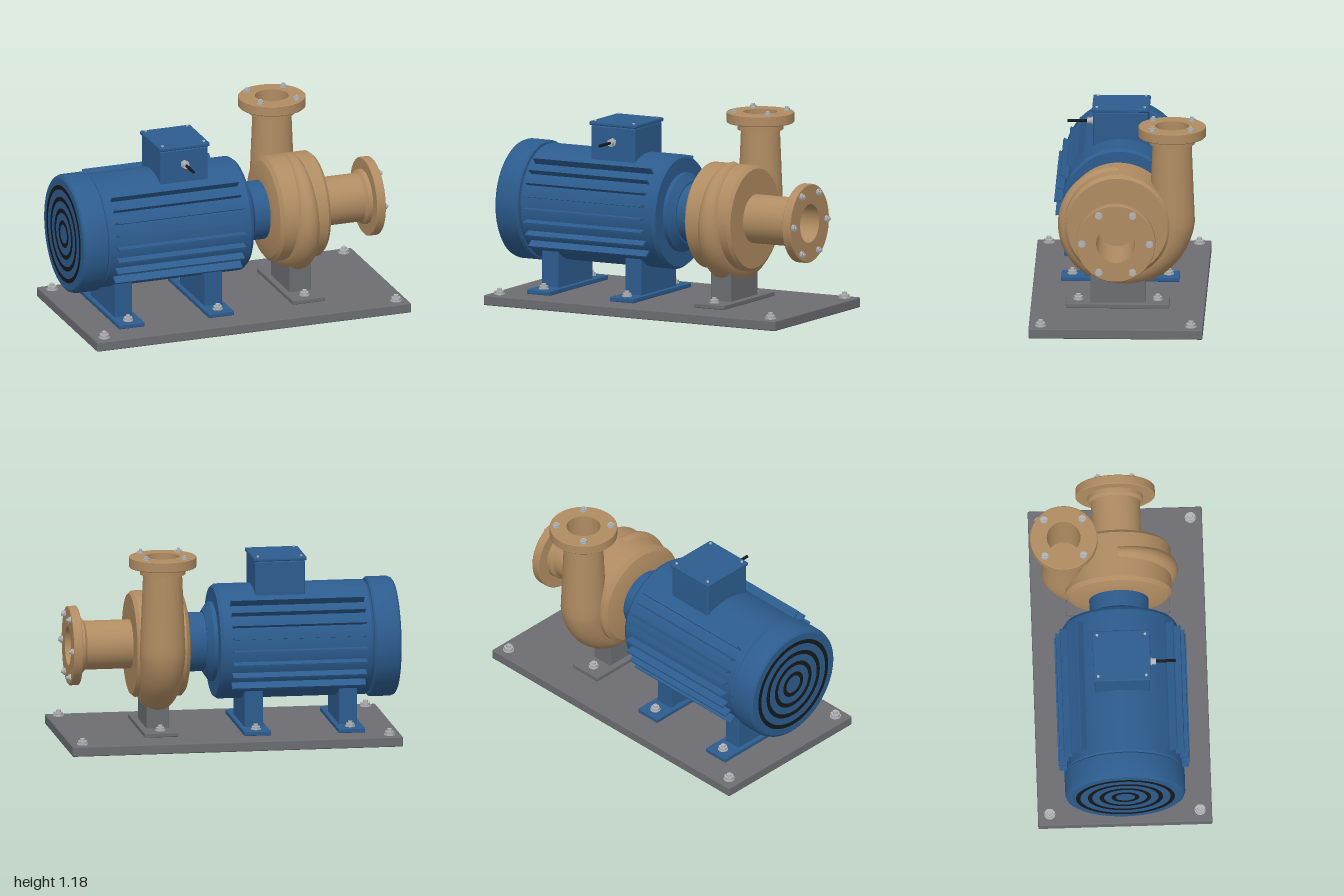
import * as THREE from 'three';
import { toCreasedNormals } from 'three/addons/utils/BufferGeometryUtils.js';
import { RoundedBoxGeometry } from 'three/addons/geometries/RoundedBoxGeometry.js';

const mat = (name, color) => Object.assign(new THREE.MeshStandardMaterial({ color }), { name });

const AXIS_Y = 0.57;   // height of the shaft
const PUMP_X = 0.43;   // middle plane of the volute
const OUTLET_Z = -0.32;

export function createModel() {
  const model = new THREE.Group();
  model.name = 'motorPump';
  const blue = mat('motor blue', 0x2c5c8e);
  const tan = mat('casing tan', 0xb08c62);
  const grey = mat('base grey', 0x6c6d72);
  const steel = mat('bolt steel', 0xb2b4b6);
  const black = mat('black', 0x17181a);

  const add = (name, geometry, material, x = 0, y = 0, z = 0) => {
    const mesh = new THREE.Mesh(geometry, material);
    mesh.name = name;
    mesh.position.set(x, y, z);
    model.add(mesh);
    return mesh;
  };

  // Box given by its limits, with slightly rounded edges
  const box = (name, material, [x0, x1], [y0, y1], [z0, z1], r = 0.005) =>
    add(name, new RoundedBoxGeometry(x1 - x0, y1 - y0, z1 - z0, 2, r), material,
      (x0 + x1) / 2, (y0 + y1) / 2, (z0 + z1) / 2);

  // Turned part from [distance along axis, radius] pairs
  const turned = (profile) => toCreasedNormals(
    new THREE.LatheGeometry(profile.map(([a, r]) => new THREE.Vector2(r, a)), 64), 0.4);
  const turnedX = (name, material, profile) =>
    add(name, turned(profile).rotateZ(-Math.PI / 2), material, 0, AXIS_Y, 0);

  // Hex nut with a stud, standing on y or pointing along +x
  const bolt = (name, s, x, y, z, alongX = false) => {
    const g = new THREE.Group();
    g.name = name;
    const parts = [
      ['washer', s * 1.1, 0.006, 24],
      ['nut', s, s * 0.75, 6],
      ['stud', s * 0.5, s * 1.25, 16],
    ];
    for (const [part, r, h, n] of parts) {
      const m = new THREE.Mesh(new THREE.CylinderGeometry(r, r, h, n), steel);
      m.name = part;
      m.position.y = h / 2;
      g.add(m);
    }
    g.position.set(x, y, z);
    if (alongX) g.rotation.z = -Math.PI / 2;
    model.add(g);
  };

  // Base plate and its anchor bolts
  box('basePlate', grey, [-0.98, 1], [0, 0.06], [-0.515, 0.515], 0.007);
  for (const x of [-0.91, 0.93]) for (const z of [-0.445, 0.445]) bolt('anchorBolt', 0.03, x, 0.06, z);

  // Motor feet
  for (const x of [-0.7, -0.135]) {
    box('motorFootPlate', blue, [x - 0.08, x + 0.08], [0.06, 0.087], [-0.35, 0.35]);
    box('motorLeg', blue, [x - 0.055, x + 0.055], [0.08, 0.35], [-0.21, 0.21]);
    for (const z of [-0.285, 0.285]) bolt('motorFootBolt', 0.027, x, 0.087, z);
  }

  // Pump foot
  box('pumpFootPlate', grey, [0.33, 0.535], [0.06, 0.087], [-0.305, 0.305]);
  box('pumpLeg', grey, [0.365, 0.5], [0.08, 0.32], [-0.162, 0.162]);
  for (const z of [-0.235, 0.235]) bolt('pumpFootBolt', 0.027, PUMP_X, 0.087, z);

  // Motor housing, fan cover and the neck to the pump
  turnedX('motorHousing', blue, [
    [-0.845, 0], [-0.845, 0.325], [-0.825, 0.34], [0.06, 0.34], [0.08, 0.325], [0.08, 0]]);
  turnedX('fanCover', blue, [
    [-1, 0], [-1, 0.335], [-0.99, 0.348], [-0.97, 0.355], [-0.85, 0.355], [-0.84, 0.345], [-0.84, 0]]);
  turnedX('motorNeck', blue, [
    [0.07, 0.235], [0.105, 0.235], [0.14, 0.185], [0.14, 0.175], [0.25, 0.175]]);

  // Concentric dark slots in the fan cover
  for (const r of [0.07, 0.14, 0.21, 0.28]) {
    add('fanSlot', new THREE.RingGeometry(r - 0.013, r + 0.013, 64).rotateY(-Math.PI / 2),
      black, -1.0015, AXIS_Y, 0);
  }

  // Cooling fins on both sides
  for (const side of [-1, 1]) {
    for (let i = -3; i <= 4; i++) {
      const a = i * 0.213;
      const fin = add('coolingFin', new THREE.BoxGeometry(0.8, 0.011, 0.07), blue,
        -0.39, AXIS_Y + 0.355 * Math.sin(a), side * 0.355 * Math.cos(a));
      fin.rotation.x = -side * a;
    }
  }

  // Terminal box with lid, screws, gland and cable
  box('terminalBox', blue, [-0.45, -0.15], [0.85, 1.072], [-0.163, 0.163], 0.01);
  box('terminalLid', blue, [-0.459, -0.141], [1.072, 1.096], [-0.17, 0.17], 0.008);
  for (const x of [-0.43, -0.17]) for (const z of [-0.142, 0.142]) {
    add('lidScrew', new THREE.CylinderGeometry(0.008, 0.008, 0.008, 12), steel, x, 1.099, z);
  }
  const rod = (name, r, z0, z1, n, material) => add(name,
    new THREE.CylinderGeometry(r, r, z1 - z0, n).rotateX(Math.PI / 2), material, -0.3, 0.98, (z0 + z1) / 2);
  rod('glandNut', 0.026, 0.16, 0.178, 6, steel);
  rod('glandSleeve', 0.019, 0.175, 0.202, 24, steel);
  rod('cable', 0.009, 0.2, 0.32, 16, black);

  // Pump casing drum
  turnedX('pumpCasing', tan, [
    [0.24, 0], [0.24, 0.19], [0.247, 0.24], [0.26, 0.29], [0.28, 0.315],
    [0.555, 0.315], [0.575, 0.297], [0.575, 0]]);

  // Volute: a growing tube spirals around the drum, then rises to the outlet
  const rings = [];
  const STEPS = 60, SIDES = 40;
  for (let i = 0; i <= STEPS; i++) {
    const s = i / STEPS, a = Math.PI / 2 - s * Math.PI * 1.5;
    const r = 0.04 + 0.095 * s, R = 0.33 + 0.07 * s + 0.055 * s ** 3 - r;
    rings.push({ y: AXIS_Y + R * Math.sin(a), z: R * Math.cos(a), r, ny: Math.sin(a), nz: Math.cos(a) });
  }
  for (let i = 1; i <= 8; i++) {
    const s = i / 8;
    rings.push({ y: AXIS_Y + 0.49 * s, z: OUTLET_Z, r: 0.135 - 0.02 * s, ny: 0, nz: -1 });
  }
  const pos = [], index = [];
  rings.forEach(({ y, z, r, ny, nz }, i) => {
    for (let j = 0; j <= SIDES; j++) {
      const b = (j / SIDES) * Math.PI * 2, c = r * Math.cos(b);
      pos.push(PUMP_X + r * Math.sin(b), y + c * ny, z + c * nz);
      if (i && j) {
        const q = i * (SIDES + 1) + j, p = q - SIDES - 1;
        index.push(p - 1, q - 1, p, q - 1, q, p);
      }
    }
  });
  const volute = new THREE.BufferGeometry();
  volute.setAttribute('position', new THREE.Float32BufferAttribute(pos, 3));
  volute.setIndex(index);
  // Ring order must face outwards: test one triangle against its ring centre
  const v = (k) => new THREE.Vector3().fromArray(pos, index[k] * 3);
  const normal = v(1).sub(v(0)).cross(v(2).sub(v(0)));
  if (normal.dot(v(0).sub(new THREE.Vector3(PUMP_X, rings[0].y, rings[0].z))) < 0) {
    volute.setIndex(index.reverse());
  }
  add('volute', toCreasedNormals(volute, 0.6), tan);

  // Suction pipe with an open bore, and its flange bolts
  turnedX('suctionPipe', tan, [
    [0.57, 0.145], [0.85, 0.145], [0.865, 0.163], [0.89, 0.165], [0.89, 0.231], [0.894, 0.235],
    [0.941, 0.235], [0.945, 0.231], [0.945, 0.115], [0.58, 0.115], [0.58, 0]]);
  for (let i = 0; i < 6; i++) {
    const a = i * Math.PI / 3;
    bolt('suctionBolt', 0.02, 0.945, AXIS_Y + 0.2 * Math.sin(a), 0.2 * Math.cos(a), true);
  }

  // Discharge flange with an open bore, and its bolts
  add('dischargeFlange', turned([
    [1.05, 0.11], [1.05, 0.135], [1.092, 0.135], [1.092, 0.196], [1.096, 0.2],
    [1.151, 0.2], [1.155, 0.196], [1.155, 0.1], [0.8, 0.1], [0.8, 0]]), tan, PUMP_X, 0, OUTLET_Z);
  for (const dx of [-0.114, 0.114]) for (const dz of [-0.114, 0.114]) {
    bolt('dischargeBolt', 0.02, PUMP_X + dx, 1.155, OUTLET_Z + dz);
  }

  return model;
}
